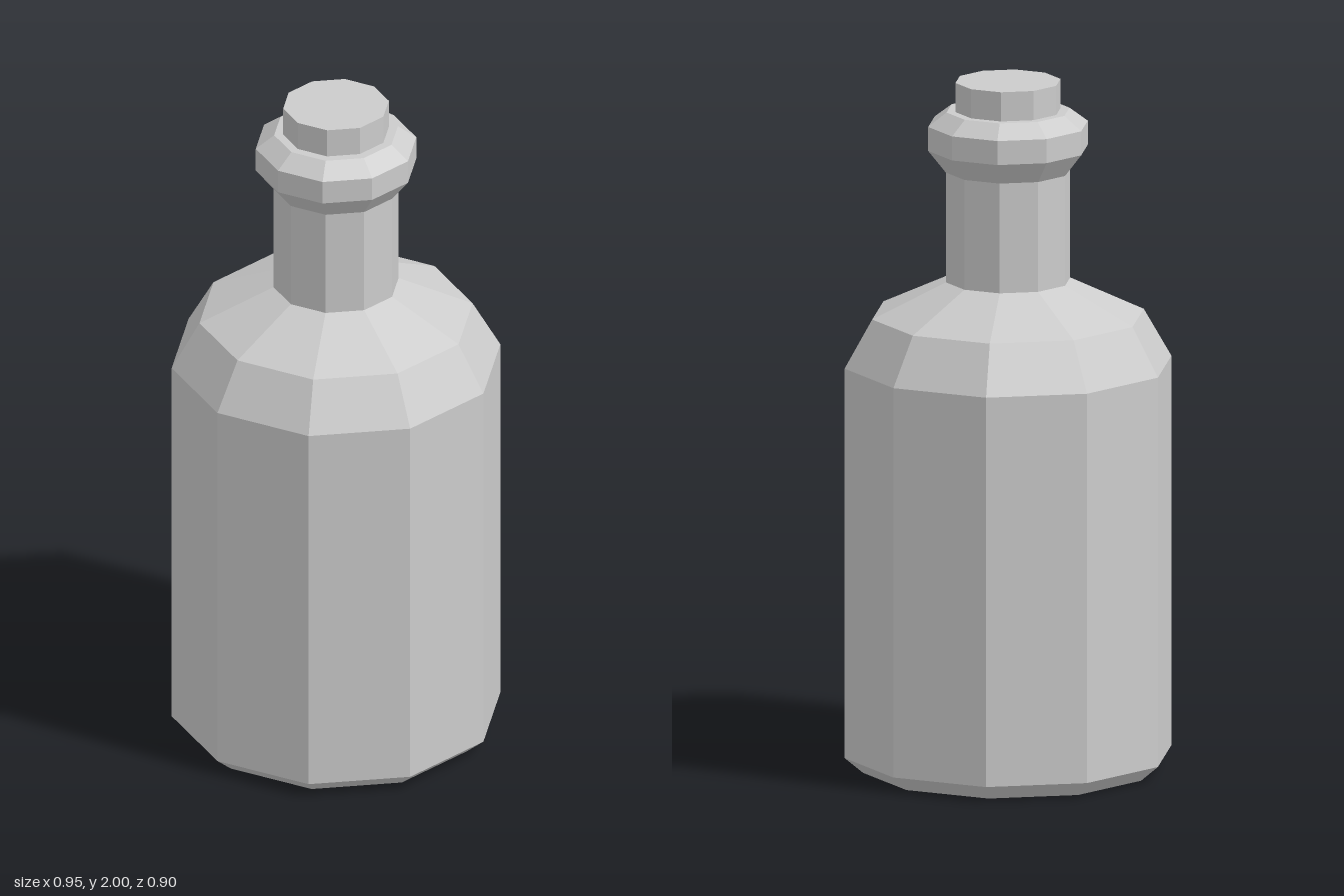
import * as THREE from 'three';

const SIDES = 10;

// Faceted solid of revolution with a corner on the x axis; profile is [radius, y] from bottom to top
function turned(name, profile, material) {
  const points = profile.map(([r, y]) => new THREE.Vector2(r, y));
  const geometry = new THREE.LatheGeometry(points, SIDES, Math.PI / 2).toNonIndexed();
  geometry.computeVertexNormals();
  const mesh = new THREE.Mesh(geometry, material);
  mesh.name = name;
  return mesh;
}

export function createModel() {
  const grey = new THREE.MeshStandardMaterial({ color: 0xcccccc, flatShading: true });
  const bottle = new THREE.Group();
  bottle.name = 'bottle';

  // Closed base with a bevel, straight body, two-step shoulder and neck
  bottle.add(turned('bottleBody', [
    [0, 0], [0.42, 0], [0.473, 0.045], [0.473, 1.18],
    [0.393, 1.32], [0.18, 1.42], [0.18, 1.74],
  ], grey));

  // Bevelled ring around the mouth, closed on top
  bottle.add(turned('lip', [
    [0.18, 1.74], [0.231, 1.805], [0.231, 1.875], [0.178, 1.915], [0, 1.915],
  ], grey));

  // Stopper standing in the mouth
  bottle.add(turned('stopper', [
    [0.152, 1.915], [0.152, 2], [0, 2],
  ], grey));

  return bottle;
}
